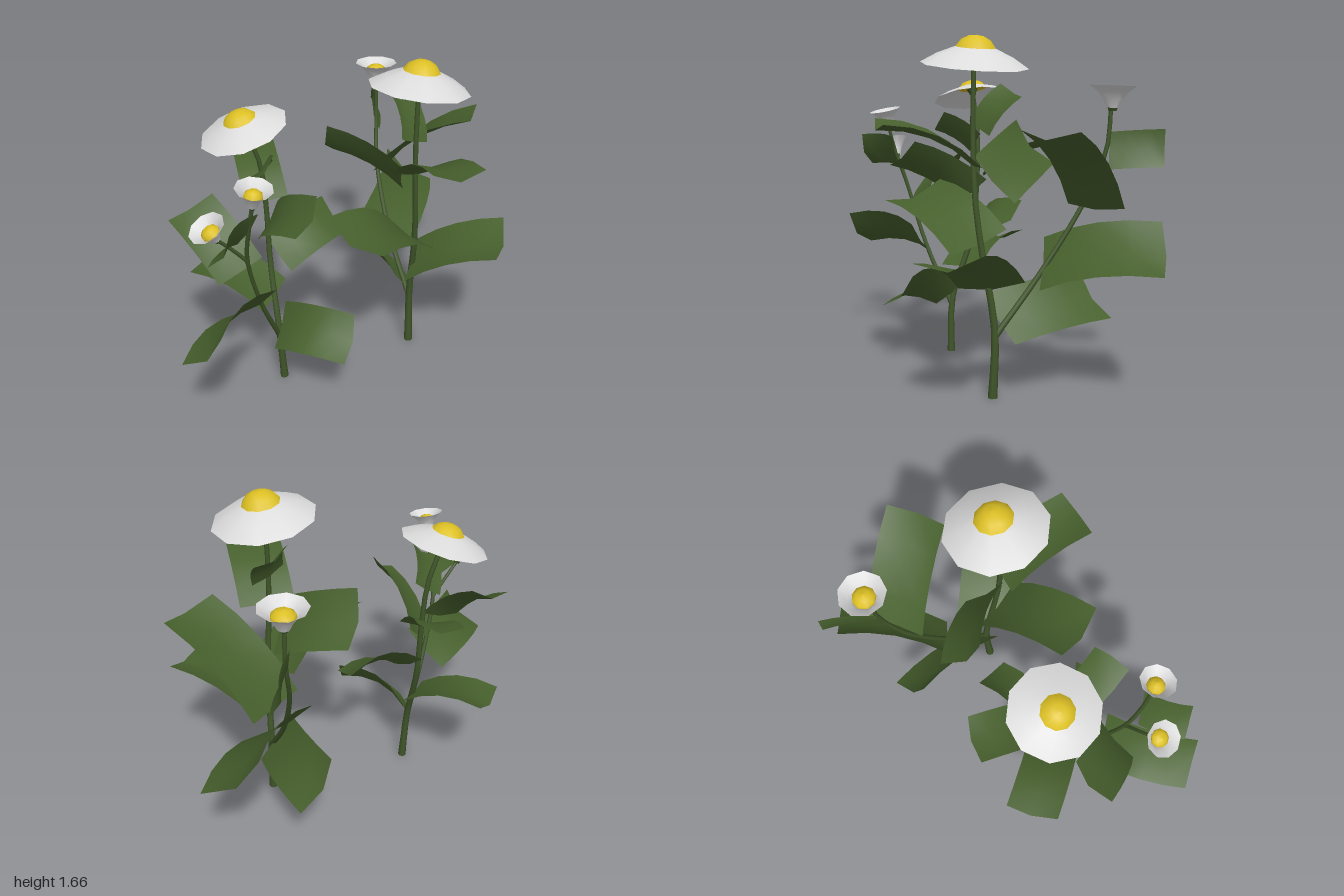
import * as THREE from 'three';

const V = (a) => new THREE.Vector3(...a);
const UP = new THREE.Vector3(0, 1, 0);

export function createModel() {
  const model = new THREE.Group();
  const mat = (name, color) => {
    const m = new THREE.MeshStandardMaterial({ color, side: THREE.DoubleSide });
    m.name = name;
    return m;
  };
  const leafGreen = mat('leaf green', 0x47602d);
  const stemGreen = mat('stem green', 0x3f5529);
  const petalWhite = mat('petal white', 0xdcdcdc);
  const pollenYellow = mat('pollen yellow', 0xdcc024);

  const add = (parent, name, geometry, material) => {
    const mesh = new THREE.Mesh(geometry, material);
    mesh.name = name;
    parent.add(mesh);
    return mesh;
  };

  // Stem: a thin tube that tapers from r0 to r1 along a smooth path
  function stem(parent, name, points, r0, r1) {
    const curve = new THREE.CatmullRomCurve3(points.map(V));
    const rings = 14, sides = 8;
    const geo = new THREE.TubeGeometry(curve, rings, 1, sides, false);
    const pos = geo.attributes.position, p = new THREE.Vector3();
    for (let i = 0; i <= rings; i++) {
      const c = curve.getPointAt(i / rings);
      const r = r0 + (r1 - r0) * Math.sqrt(i / rings);
      for (let j = 0; j <= sides; j++) {
        const k = i * (sides + 1) + j;
        p.fromBufferAttribute(pos, k).sub(c).multiplyScalar(r).add(c);
        pos.setXYZ(k, p.x, p.y, p.z);
      }
    }
    add(parent, name, geo, stemGreen);
  }

  // Leaf: an arched sheet from base to tip, spanned by a width vector, folded more towards the tip
  function leaf(parent, base, tip, width, lift = 0.04) {
    const b = V(base), t = V(tip), w = V(width);
    const n = t.clone().sub(b).cross(w).normalize();
    if (n.y < 0) n.negate();
    const geo = new THREE.PlaneGeometry(1, 1, 2, 4);
    const pos = geo.attributes.position, p = new THREE.Vector3();
    for (let i = 0; i < pos.count; i++) {
      const s = pos.getX(i), u = pos.getY(i) + 0.5;
      const fold = w.length() * (0.06 + 0.1 * u) * (1 - 2 * Math.abs(s));
      p.lerpVectors(b, t, u).addScaledVector(w, s).addScaledVector(n, lift * 4 * u * (1 - u) - fold);
      pos.setXYZ(i, p.x, p.y, p.z);
    }
    geo.computeVertexNormals();
    add(parent, 'leaf', geo, leafGreen);
  }

  const lathe = (pts, sides) => new THREE.LatheGeometry(pts.map((q) => new THREE.Vector2(...q)), sides);

  function place(group, parent, at, facing) {
    group.position.set(...at);
    group.quaternion.setFromUnitVectors(UP, V(facing).normalize());
    parent.add(group);
  }

  // Open flower: drooping petal disc with a domed centre and a small calyx, origin at rim height
  function openFlower(parent, at, facing, r, h) {
    const g = new THREE.Group();
    g.name = 'openFlower';
    add(g, 'petals', lathe([[r, 0], [r * 0.7, h * 0.48], [r * 0.37, h * 0.85]], 10), petalWhite);
    add(g, 'flowerCentre', lathe([[r * 0.37, h * 0.85], [r * 0.27, h * 1.2],
      [r * 0.14, h * 1.38], [0, h * 1.43]], 10), pollenYellow);
    add(g, 'centreUnderside', lathe([[0, h * 0.72], [r * 0.37, h * 0.85]], 10), pollenYellow);
    const calyx = add(g, 'calyx', new THREE.CylinderGeometry(r * 0.14, r * 0.06, h * 0.5, 8), stemGreen);
    calyx.position.y = h * 0.5;
    place(g, parent, at, facing);
  }

  // Young flower: upward funnel, origin at its foot
  function youngFlower(parent, at, facing, r, h) {
    const g = new THREE.Group();
    g.name = 'youngFlower';
    add(g, 'petals', lathe([[r * 0.26, 0], [r * 0.42, h * 0.38], [r * 0.65, h * 0.72], [r, h]], 9), petalWhite);
    add(g, 'flowerCentre', lathe([[r * 0.5, h * 0.52], [r * 0.48, h * 0.68], [r * 0.28, h * 0.84],
      [0, h * 0.9]], 9), pollenYellow);
    add(g, 'calyx', new THREE.CylinderGeometry(r * 0.26, r * 0.15, 0.03, 8), stemGreen);
    place(g, parent, at, facing);
  }

  // Taller plant
  const tall = new THREE.Group();
  tall.name = 'tallPlant';
  model.add(tall);
  stem(tall, 'mainStem', [[0.385, 0, 0.1], [0.385, 0.32, 0.09], [0.355, 0.68, 0.14],
    [0.33, 0.9, 0.16], [0.31, 1.2, 0.163], [0.315, 1.58, 0.16]], 0.023, 0.011);
  stem(tall, 'sideStem', [[0.385, 0.29, 0.09], [0.43, 0.56, -0.12], [0.505, 0.9, -0.32],
    [0.565, 1.15, -0.4], [0.57, 1.35, -0.415]], 0.016, 0.01);
  openFlower(tall, [0.318, 1.523, 0.16], [0.14, 1, 0.01], 0.243, 0.093);
  youngFlower(tall, [0.575, 1.335, -0.42], [0.02, 1, -0.03], 0.11, 0.1);
  [
    [[0.33, 0.73, 0.14], [-0.135, 0.93, 0.235], [0.05, -0.08, 0.33], 0.05],
    [[0.325, 1.09, 0.16], [0.185, 1.28, 0.565], [0.25, -0.02, 0.08], 0.05],
    [[0.37, 0.53, 0.1], [0.63, 0.735, 0.475], [0.27, 0.06, -0.19], 0.04],
    [[0.58, 0.89, -0.33], [0.76, 1.25, 0.07], [0.28, 0, -0.1], 0.05],
    [[0.43, 0.62, -0.14], [0.89, 0.73, -0.455], [0.2, -0.2, 0.17], 0.05],
    [[0.33, 1.01, 0.06], [0.15, 1.165, -0.295], [-0.14, 0.21, 0.13], 0.03],
    [[0.38, 0.37, 0.06], [0.455, 0.44, -0.44], [0.2, -0.2, -0.04], 0.03],
    [[0.325, 1.245, 0.14], [0.378, 1.415, 0.005], [0.17, -0.06, 0], 0.02],
    [[0.57, 1.14, -0.41], [0.735, 1.155, -0.595], [0.03, -0.17, 0.03], 0.01],
  ].forEach((l) => leaf(tall, ...l));

  // Shorter plant
  const short = new THREE.Group();
  short.name = 'shortPlant';
  model.add(short);
  stem(short, 'mainStem', [[-0.335, 0, -0.095], [-0.345, 0.3, -0.11], [-0.31, 0.63, -0.21],
    [-0.3, 0.98, -0.24], [-0.315, 1.18, -0.25], [-0.385, 1.39, -0.265]], 0.021, 0.011);
  stem(short, 'sideStem', [[-0.345, 0.26, -0.105], [-0.5, 0.58, -0.03], [-0.6, 0.9, 0.03],
    [-0.62, 1.08, 0.09], [-0.62, 1.22, 0.13]], 0.015, 0.009);
  stem(short, 'budStem', [[-0.595, 0.88, 0.025], [-0.67, 0.97, 0.02], [-0.745, 1.05, 0.02]], 0.01, 0.008);
  openFlower(short, [-0.385, 1.37, -0.265], [-0.3, 1, -0.06], 0.212, 0.068);
  youngFlower(short, [-0.62, 1.215, 0.13], [0, 1, 0.22], 0.085, 0.095);
  youngFlower(short, [-0.745, 1.05, 0.02], [-0.5, 0.87, 0], 0.087, 0.085);
  [
    [[-0.525, 0.6, -0.02], [-0.95, 0.62, 0.16], [0.1, 0.19, 0.18], 0.05],
    [[-0.6, 0.8, -0.03], [-0.67, 1.045, -0.315], [0.23, 0.07, 0.02], 0.03],
    [[-0.33, 0.48, -0.16], [-0.505, 0.6, -0.54], [0.23, 0.04, -0.12], 0.05],
    [[-0.28, 0.97, -0.26], [-0.16, 1.14, -0.535], [0.18, 0.03, 0.11], 0.03],
    [[-0.28, 0.7, -0.18], [0.08, 0.8, -0.175], [0.015, -0.13, 0.19], 0.05],
    [[-0.345, 0.335, -0.1], [-0.215, 0.405, 0.29], [0.15, 0.17, -0.1], 0.06],
    [[-0.31, 0.88, -0.22], [-0.37, 1.09, 0.175], [0.17, 0.13, -0.06], 0.04],
    [[-0.325, 1.135, -0.24], [-0.43, 1.25, -0.08], [0.14, 0.1, 0.02], 0.02],
    [[-0.62, 1.08, 0.08], [-0.825, 1.085, 0.165], [0.06, 0.17, 0.09], 0.02],
  ].forEach((l) => leaf(short, ...l));

  return model;
}
